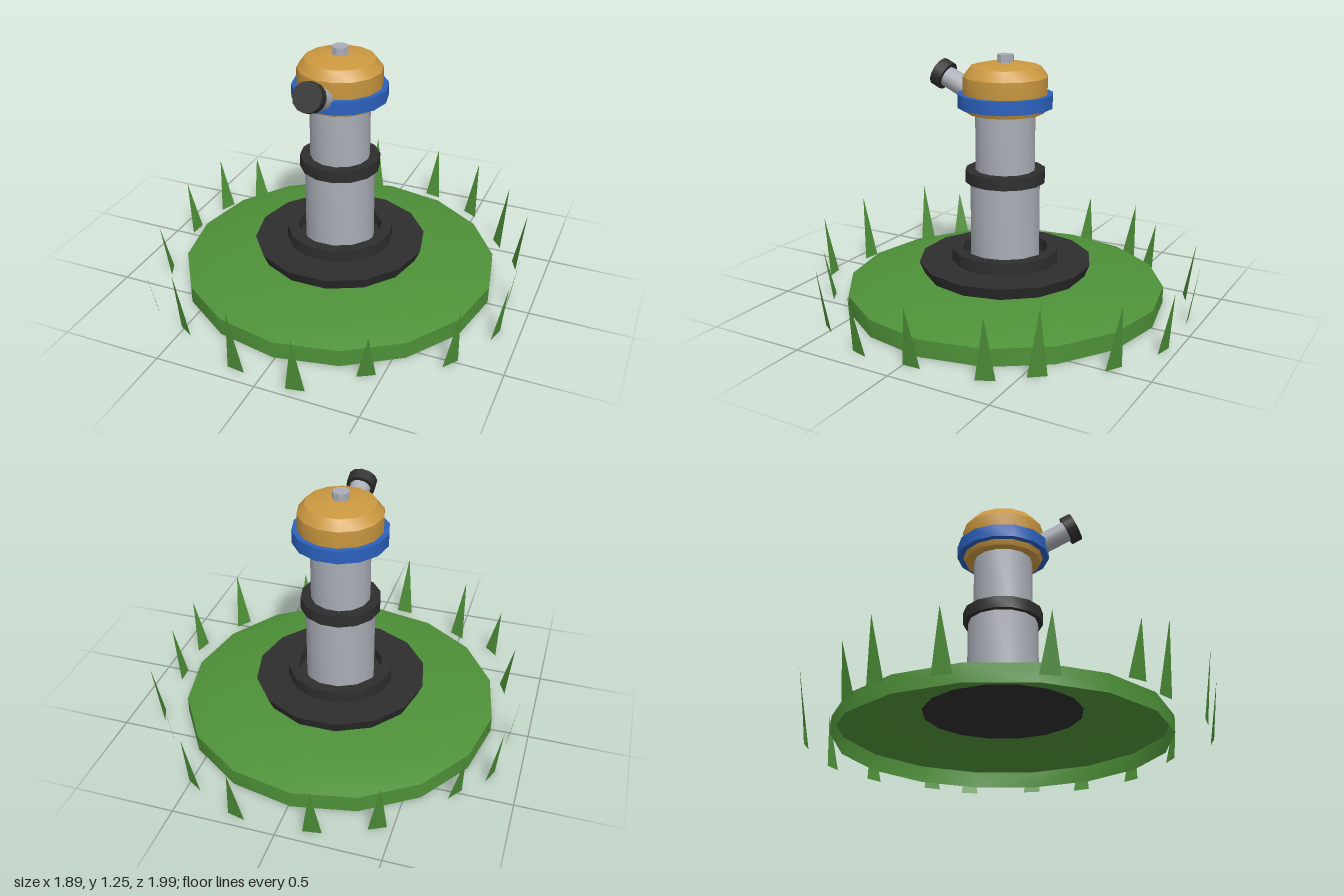
import * as THREE from 'three';
import { toCreasedNormals } from 'three/addons/utils/BufferGeometryUtils.js';

function material(name, color, side = THREE.FrontSide) {
  const m = new THREE.MeshStandardMaterial({ color, side });
  m.name = name;
  return m;
}

export function createModel() {
  const grass = material('grass green', 0x4e9138, THREE.DoubleSide);
  const iron = material('dark iron', 0x2e2e2e);
  const steel = material('light steel', 0xa9adb6);
  const brass = material('brass', 0xcb9840);
  const blue = material('blue paint', 0x2b61bd);

  const model = new THREE.Group();
  model.name = 'standpipe';
  model.position.set(-0.01, 0, -0.012);

  function add(name, geometry, mat, parent = model) {
    const mesh = new THREE.Mesh(geometry, mat);
    mesh.name = name;
    parent.add(mesh);
    return mesh;
  }
  // Turned part: profile runs upward on the outside, with a corner at +x
  function turned(name, profile, mat, sides = 14, crease = 0.5) {
    const points = profile.map(([r, y]) => new THREE.Vector2(r, y));
    const lathe = new THREE.LatheGeometry(points, sides, Math.PI / 2);
    return add(name, toCreasedNormals(lathe, crease), mat);
  }
  const solid = (r0, r1, y0, y1) => [[0, y0], [r0, y0], [r1, y1], [0, y1]];
  const ring = (inner, outer, y0, y1) =>
    [[inner, y0], [outer, y0], [outer, y1], [inner, y1], [inner, y0]];

  // Ground mound, open underneath
  turned('mound', [[0.8, 0], [0.8, 0.085], [0.695, 0.118], [0.42, 0.147], [0, 0.16]], grass, 16);

  // Base and pillar
  turned('baseFlange', solid(0.41, 0.436, 0.148, 0.21), iron);
  turned('baseCollar', ring(0.215, 0.27, 0.2, 0.273), iron);
  turned('lowerPillar', solid(0.175, 0.175, 0.2, 0.63), steel);
  turned('middleRing', ring(0.14, 0.2, 0.617, 0.677), iron);
  turned('upperPillar', solid(0.149, 0.149, 0.66, 0.98), steel);

  // Domed head with its band and top nut
  turned('head', [[0, 0.965], [0.193, 0.965], [0.209, 1.0], [0.209, 1.14],
    [0.172, 1.187], [0.09, 1.205], [0, 1.21]], brass, 14, 0.6);
  turned('headBand', ring(0.203, 0.235, 0.99, 1.056), blue);
  turned('topNut', solid(0.042, 0.042, 1.195, 1.245), steel, 8);

  // Spout leaning up toward the front; its local y is the spout axis
  const spout = new THREE.Group();
  spout.name = 'spout';
  spout.position.set(0, 1.122, 0.355);
  spout.rotation.x = THREE.MathUtils.degToRad(65);
  model.add(spout);
  const tube = add('spoutTube', new THREE.CylinderGeometry(0.052, 0.052, 0.22, 12), steel, spout);
  tube.position.y = -0.11;
  add('spoutCap', new THREE.CylinderGeometry(0.073, 0.073, 0.055, 12), iron, spout);

  // Grass blades: flat triangles leaning outward. [x, z, height]
  const blades = [
    [-0.43, -0.83, 0.29], [-0.15, -0.94, 0.29], [0.22, -0.95, 0.29], [0.49, -0.82, 0.31],
    [0.72, -0.56, 0.34], [0.86, -0.38, 0.31], [0.91, -0.03, 0.3], [0.92, 0.25, 0.29],
    [0.78, 0.54, 0.31], [0.45, 0.77, 0.25], [0.19, 0.98, 0.31], [-0.12, 0.96, 0.345],
    [-0.48, 0.8, 0.34], [-0.7, 0.7, 0.25], [-0.82, 0.37, 0.26], [-0.91, -0.05, 0.28],
    [-0.87, -0.34, 0.29], [-0.73, -0.51, 0.25],
  ];
  const tuft = new THREE.Group();
  tuft.name = 'grassBlades';
  model.add(tuft);
  for (const [x, z, height] of blades) {
    const blade = new THREE.BufferGeometry();
    blade.setAttribute('position', new THREE.Float32BufferAttribute(
      [-0.045, 0, -0.018, 0.045, 0, -0.018, 0, height, 0.03], 3));
    blade.computeVertexNormals();
    const mesh = add('grassBlade', blade, grass, tuft);
    mesh.position.set(x, 0, z);
    mesh.rotation.y = Math.atan2(x, z);
  }

  const root = new THREE.Group();
  root.name = 'model';
  root.add(model);
  return root;
}
